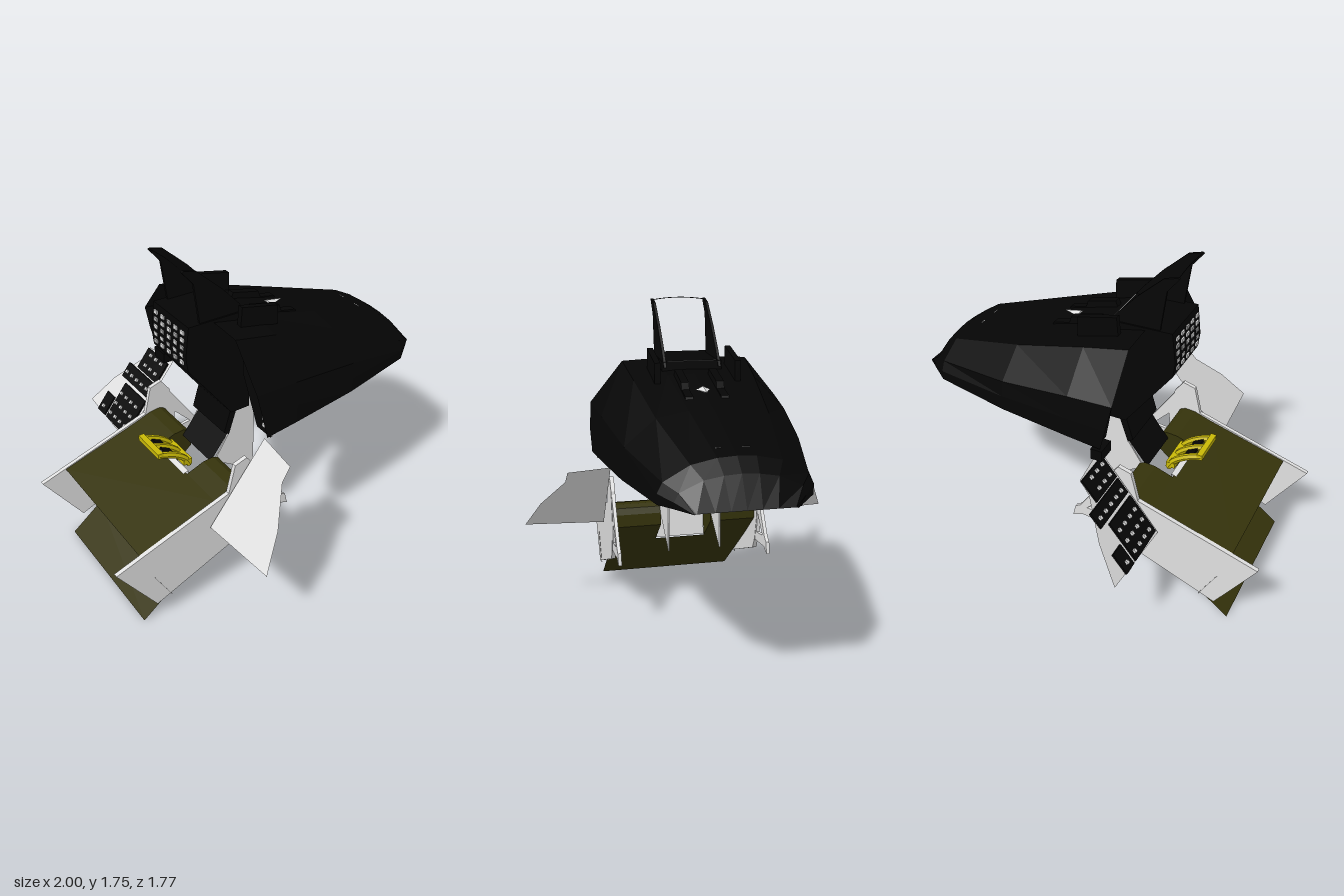
import * as THREE from 'three';

const mat = (name, color) => {
  const m = new THREE.MeshStandardMaterial({ color, side: THREE.DoubleSide, flatShading: true });
  m.name = name;
  return m;
};

export function createModel() {
  const root = new THREE.Group();
  const black = mat('black', 0x050505);
  const white = mat('pale grey', 0xe0e0e0);
  const grey = mat('mid grey', 0xa8a8a8);
  const olive = mat('olive', 0x35330b);
  const yellow = mat('yellow', 0xc8b806);

  const add = (name, geo, m, parent = root) => {
    const mesh = new THREE.Mesh(geo, m);
    mesh.name = name;
    parent.add(mesh);
    return mesh;
  };
  const toShape = (pts) => new THREE.Shape(pts.map(([x, y]) => new THREE.Vector2(x, y)));
  // side-on outline (x, y) given a thickness from z0 to z1
  const plate = (name, pts, z0, z1, m, hole) => {
    const s = toShape(pts);
    if (hole) s.holes.push(toShape(hole));
    const g = new THREE.ExtrudeGeometry(s, { depth: z1 - z0, bevelEnabled: false });
    return add(name, g.translate(0, 0, z0), m);
  };
  const box = (name, w, h, d, x, y, z, m, parent) =>
    add(name, new THREE.BoxGeometry(w, h, d).translate(x, y, z), m, parent);
  // grid surface through rows of points
  const loft = (rows) => {
    const n = rows[0].length, idx = [];
    for (let i = 0; i < rows.length - 1; i++)
      for (let j = 0; j < n - 1; j++) {
        const a = i * n + j, b = a + n;
        idx.push(a, a + 1, b, b, a + 1, b + 1);
      }
    const g = new THREE.BufferGeometry();
    g.setAttribute('position', new THREE.Float32BufferAttribute(rows.flat(2), 3));
    g.setIndex(idx);
    g.computeVertexNormals();
    return g;
  };
  // bent sheet following an (x, y) line between two z values
  const sheet = (name, pts, z0, z1, m) =>
    add(name, loft([z0, z1].map((z) => pts.map(([x, y]) => [x, y, z]))), m);

  // nose hood: open shell, half sections [z, y, x shift] mirrored at each x
  const sections = [
    [-0.25, [0.52, 0.96, 0.06], [0.525, 1.08, 0.03], [0.515, 1.22], [0.34, 1.435], [0.14, 1.445], [0, 1.455]],
    [0.0, [0.5, 0.96], [0.505, 1.07], [0.49, 1.19], [0.32, 1.37], [0.14, 1.39], [0, 1.395]],
    [0.4, [0.45, 0.96], [0.45, 1.04], [0.435, 1.12], [0.28, 1.25], [0.12, 1.28], [0, 1.285]],
    [0.83, [0.36, 0.96], [0.36, 1.01], [0.335, 1.06], [0.21, 1.13], [0.09, 1.155], [0, 1.16]],
    [0.91, [0.3, 0.96], [0.3, 0.99], [0.28, 1.03], [0.17, 1.08], [0.08, 1.095], [0, 1.1]],
    [1.0, [0.23, 0.957], [0.228, 0.958], [0.22, 0.96], [0.14, 0.96], [0.07, 0.96], [0, 0.96]],
  ];
  const rows = sections.map(([x, ...half]) => [
    ...half.map(([z, y, dx = 0]) => [x + dx, y, z]),
    ...half.slice(0, -1).reverse().map(([z, y, dx = 0]) => [x + dx, y, -z]),
  ]);
  add('hood', loft(rows), black);

  // instrument panel housing under the hood
  plate('instrumentPanel', [[-0.39, 1.46], [-0.41, 1.3], [-0.4, 1.22], [-0.15, 0.88], [-0.04, 0.88],
    [-0.04, 0.96], [-0.06, 1.45]], -0.16, 0.16, black);
  plate('lowerPanel', [[-0.15, 0.89], [-0.19, 0.76], [-0.16, 0.74], [-0.11, 0.89]], -0.15, 0.15, black);
  for (let r = 0; r < 5; r++)
    for (let c = 0; c < 5; c++)
      box('gauge', 0.008, 0.02, 0.03, -0.402 - 0.002 * (4 - r), 1.26 + r * 0.04, -0.12 + c * 0.06,
        (r + c) % 3 ? white : grey);
  box('panelSeam', 0.004, 0.004, 0.26, -0.062, 1.45, 0, grey);

  // head-up display frame, side fins and top details
  for (const s of [-1, 1]) {
    const z = s * 0.145;
    plate('displayArm', [[-0.41, 1.745], [-0.4, 1.75], [-0.33, 1.73], [-0.2, 1.61], [-0.1, 1.5], [-0.04, 1.42],
      [-0.32, 1.44], [-0.35, 1.67]], z - 0.007, z + 0.007, black);
    plate('topFin', [[-0.13, 1.515], [0.08, 1.465], [0.08, 1.36], [-0.14, 1.4]], s * 0.21 - 0.015, s * 0.21 + 0.015, black);
    plate('cowlRib', [[0.02, 1.42], [0.18, 1.38], [0.19, 1.345], [0.28, 1.325], [0.3, 1.28], [0.0, 1.36]],
      s * 0.09 - 0.02, s * 0.09 + 0.02, black);
  }
  const arc = new THREE.QuadraticBezierCurve3(new THREE.Vector3(-0.4, 1.742, -0.145),
    new THREE.Vector3(-0.4, 1.766, 0), new THREE.Vector3(-0.4, 1.742, 0.145));
  add('displayGlassEdge', new THREE.TubeGeometry(arc, 12, 0.002, 4), black);
  add('hoodMarker', new THREE.ConeGeometry(0.034, 0.09, 4).rotateZ(-Math.PI / 2).scale(1, 0.5, 1)
    .translate(0.23, 1.342, 0), white);
  box('hoodSlit', 0.003, 0.004, 0.16, 0.75, 1.179, 0, grey);

  // bulkheads behind the hood: black dash at the back, pale at the front
  for (const s of [-1, 1]) {
    const outline = [[0.5, 0.935], [0.485, 1.18], [0.31, 1.36], [0.27, 1.36], [0.27, 1.18], [0.39, 0.935]]
      .map(([z, y]) => [s * z, y]);
    const skin = (name, x, m) => add(name, new THREE.ExtrudeGeometry(toShape(outline),
      { depth: 0.006, bevelEnabled: false }).rotateY(-Math.PI / 2).translate(x, 0, 0), m);
    skin('bulkhead', -0.144, white);
    skin('dashSide', -0.15, black);
    for (let i = 0; i < 6; i++) box('dashSwitch', 0.008, 0.018, 0.02, -0.16, 0.98 + i * 0.04, s * 0.45, white);
  }
  box('dashBox', 0.06, 0.06, 0.1, -0.17, 0.92, -0.475, black);

  // centre pedestal
  for (const s of [-1, 1])
    plate('pedestalSide', [[-0.1, 0.96], [0, 0.96], [0, 0.43], [-0.25, 0.6], [-0.16, 0.74], [-0.12, 0.88]],
      s * 0.142 - 0.004, s * 0.142 + 0.004, white);
  sheet('pedestalFront', [[0, 0.96], [0, 0.8]], -0.142, 0.142, white);
  sheet('pedestalPanel', [[-0.15, 0.8], [-0.16, 0.74], [-0.27, 0.6]], -0.138, 0.138, black);
  box('pedestalShelf', 0.03, 0.03, 0.17, -0.12, 0.63, -0.05, grey);
  add('pedestalDial', new THREE.CylinderGeometry(0.07, 0.07, 0.012, 12, 1, false, Math.PI, Math.PI)
    .rotateZ(-Math.PI / 2).translate(-0.13, 0.66, 0), white);

  // seat base: folded sheets with a notch at the front
  const lip = [[-0.42, 0.59], [-0.32, 0.625], [-0.26, 0.63], [-0.23, 0.615], [-0.215, 0.58], [-0.215, 0.51], [-0.385, 0.37]];
  sheet('seatTop', [[-0.42, 0.59], [-0.86, 0.46]], -0.4, 0.4, olive);
  sheet('seatBottom', [[-0.86, 0.002], [-0.68, 0.14], [-0.385, 0.37]], -0.4, 0.4, olive);
  for (const s of [-1, 1]) {
    sheet('seatFront', lip, s * 0.148, s * 0.4, olive);
    plate('notchWall', lip, s * 0.148 - 0.004, s * 0.148 + 0.004, olive);
  }
  sheet('seatWell', [[-0.38, 0.378], [-0.41, 0.605], [-0.44, 0.597]], -0.142, 0.142, white);

  // ejection handle: two loops side by side
  const path = (name, pts, r) => add(name, new THREE.TubeGeometry(
    new THREE.CatmullRomCurve3(pts.map((p) => new THREE.Vector3(...p))), 20, r, 6), yellow);
  for (const z of [-0.085, 0, 0.085])
    path('handleBar', [[-0.37, 0.6, z], [-0.395, 0.645, z], [-0.46, 0.695, z], [-0.55, 0.732, z]], 0.018);
  box('handleGrip', 0.03, 0.03, 0.2, -0.543, 0.732, 0, yellow);
  box('handleBase', 0.05, 0.03, 0.2, -0.385, 0.625, 0, yellow);
  for (const s of [-1, 1]) {
    const pad = box('handlePad', 0.06, 0.01, 0.055, 0, 0, 0, black);
    pad.position.set(-0.475, 0.7, s * 0.043);
    pad.rotation.z = -0.5;
  }

  // side panels and triangular struts
  for (const s of [-1, 1]) {
    const a = Math.min(s * 0.402, s * 0.425);
    plate('sidePanel', [[-1, 0.42], [-0.35, 0.62], [-0.31, 0.78], [-0.24, 0.8], [-0.19, 0.73], [-0.165, 0.55],
      [-0.2, 0.39], [-0.24, 0.32], [-0.79, 0.105]], a, a + 0.023, white);
    plate('strut', [[-0.2, 0.73], [-0.02, 0.46], [0.01, 0.44], [0.025, 0.375], [-0.03, 0.4], [-0.2, 0.385], [-0.22, 0.5]],
      a + 0.002, a + 0.021, white, [[-0.16, 0.56], [-0.06, 0.455], [-0.17, 0.44]]);
    const seam = box('panelSeam', 0.003, 0.19, 0.004, 0, 0, 0, grey);
    seam.position.set(-0.75, 0.21, s * 0.425);
    seam.rotation.z = 0.5;
  }

  // side consoles on a slope; local z runs across, local y up the slope
  const slope = new THREE.Group();
  slope.name = 'sideConsoles';
  slope.position.set(-0.47, 0.465, 0);
  slope.rotation.z = -0.675;
  root.add(slope);
  for (const s of [-1, 1]) {
    const pts = [[0.435, 0], [0.885, 0.03], [0.8, 0.23], [0.67, 0.42], [0.66, 0.505], [0.43, 0.53]]
      .map(([u, v]) => [s * u, v]);
    add('console', new THREE.ShapeGeometry(toShape(pts)).rotateY(-Math.PI / 2), white, slope);
  }
  // control panels and knobs on one console
  for (const [u0, u1, v0, v1] of [[0.45, 0.66, 0.37, 0.5], [0.45, 0.74, 0.27, 0.36], [0.45, 0.68, 0.02, 0.25],
    [0.7, 0.78, 0.02, 0.14]]) {
    box('controlPanel', 0.014, v1 - v0, u1 - u0, -0.004, (v0 + v1) / 2, -(u0 + u1) / 2, black, slope);
    for (let u = u0 + 0.04; u < u1 - 0.02; u += 0.055)
      for (let v = v0 + 0.04; v < v1 - 0.02; v += 0.065)
        box('knob', 0.016, 0.018, 0.016, -0.016, v, -u, white, slope);
  }
  return root;
}
